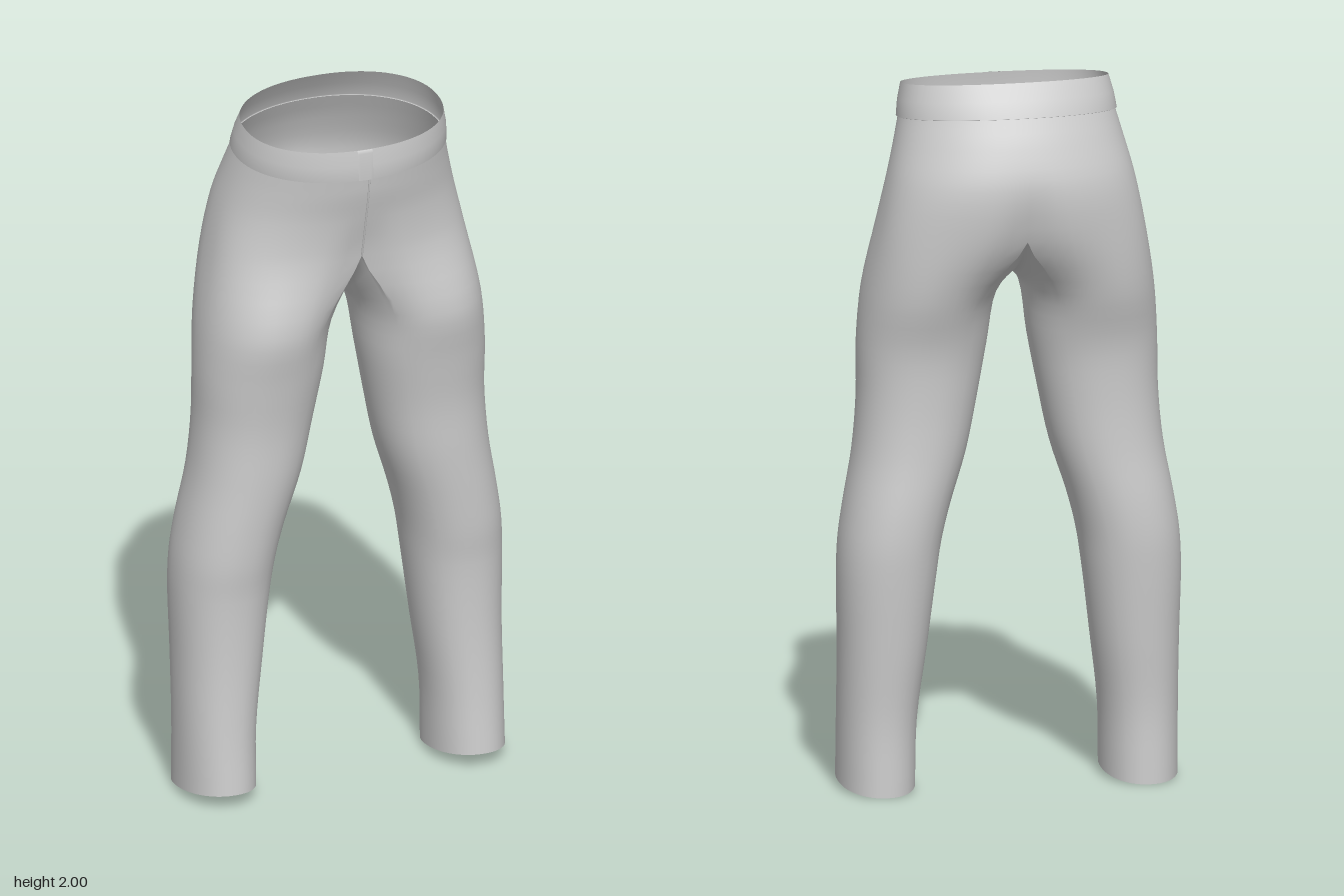
import * as THREE from 'three';
import { mergeVertices } from 'three/addons/utils/BufferGeometryUtils.js';

// Leg cross-sections from hem to thigh: [y, xInner, xOuter, zFront, zBack]
const LEG = [
  [0.02, 0.265, 0.475, 0.19, -0.125],
  [0.2, 0.26, 0.475, 0.175, -0.12],
  [0.4, 0.235, 0.476, 0.165, -0.135],
  [0.6, 0.21, 0.48, 0.167, -0.15],
  [0.7, 0.195, 0.475, 0.177, -0.155],
  [0.8, 0.17, 0.46, 0.183, -0.153],
  [0.95, 0.122, 0.433, 0.19, -0.142],
  [1.1, 0.09, 0.42, 0.195, -0.138],
  [1.25, 0.062, 0.418, 0.215, -0.148],
  [1.4, 0.038, 0.405, 0.237, -0.19],
];
// Hip cross-sections from crotch to waistband: [yFront, yBack, halfWidth, zFront, zBack, squareness, centre dip]
const HIP = [
  [1.6, 1.57, 0.37, 0.225, -0.247, 2.5, 0.022],
  [1.72, 1.72, 0.342, 0.235, -0.26, 2.2, 0.003],
  [1.8, 1.83, 0.318, 0.25, -0.228, 2.1, 0],
  [1.85, 1.91, 0.301, 0.257, -0.19, 2.1, 0],
];
const WAIST = [1.94, 2.0, 0.288, 0.256, -0.14, 2.2, 0];
const OUTER = 36, INNER = 24, COLS = OUTER + INNER, STEPS = 4, TWIST = 0.6;

const power = (v, n) => Math.sign(v) * Math.abs(v) ** (2 / n);
const mix = THREE.MathUtils.lerp;

// Angle 0 is the front, PI/2 the outer side, PI the back
function hipPoint([yf, yb, w, zf, zb, n, dip], a) {
  const s = power(Math.sin(a), n), c = power(Math.cos(a), n);
  const x = w * s;
  const hollow = dip * Math.exp(-((x / 0.07) ** 2)) * Math.sign(c);
  return new THREE.Vector3(x, mix(yb, yf, (c + 1) / 2), mix(zb, zf, (c + 1) / 2) - hollow);
}

function legPoint([y, xi, xo, zf, zb], a, hem) {
  const s = power(Math.sin(a), 2.15), c = power(Math.cos(a), 2.15);
  return new THREE.Vector3(mix(xi, xo, (s + 1) / 2), y + (hem ? 0.02 * c : 0), mix(zb, zf, (c + 1) / 2));
}

// U-shaped seam between the legs
function crotchPoint(a) {
  const c = Math.cos(a), end = hipPoint(HIP[0], c > 0 ? 0 : Math.PI);
  return new THREE.Vector3(0, mix(1.45, end.y, c * c), end.z * Math.abs(c));
}

// One curve up the cloth: inner columns stop at the crotch seam, outer ones reach the waistband
function columnCurve(j) {
  const outer = j <= OUTER;
  const a = outer ? (j / OUTER) * Math.PI : Math.PI + ((j - OUTER) / INNER) * Math.PI;
  const legAngle = outer
    ? -TWIST + (j / OUTER) * (Math.PI + 2 * TWIST)
    : Math.PI + TWIST + ((j - OUTER) / INNER) * (Math.PI - 2 * TWIST);
  const points = LEG.map((k, i) => legPoint(k, legAngle, i === 0));
  if (outer) HIP.forEach((k) => points.push(hipPoint(k, a)));
  else points.push(crotchPoint(a));
  return new THREE.CatmullRomCurve3(points);
}

// Both legs and the hips as one smooth, mirrored cloth
function trouserGeometry() {
  const legRows = LEG.length * STEPS;
  const allRows = legRows + (HIP.length - 1) * STEPS;
  const pos = [], index = [];
  for (const side of [1, -1]) {
    const start = [];
    for (let j = 0; j < COLS; j++) {
      const curve = columnCurve(j);
      const last = j <= OUTER ? allRows : legRows;
      start.push(pos.length / 3);
      for (let r = 0; r <= last; r++) {
        const p = curve.getPoint(r / last);
        pos.push(side * Math.max(0, p.x), p.y, p.z);
      }
    }
    for (let j = 0; j < COLS; j++) {
      const k = (j + 1) % COLS;
      const last = j < OUTER ? allRows : legRows;
      for (let r = 0; r < last; r++) {
        const a = start[j] + r, b = start[k] + r;
        if (side > 0) index.push(a, b, b + 1, a, b + 1, a + 1);
        else index.push(b, a, a + 1, b, a + 1, b + 1);
      }
    }
  }
  return finish(pos, index);
}

function finish(pos, index) {
  let g = new THREE.BufferGeometry();
  g.setAttribute('position', new THREE.Float32BufferAttribute(pos, 3));
  g.setIndex(index);
  g = mergeVertices(g, 1e-4);
  g.computeVertexNormals();
  return g;
}

// Strip around the waist between two angles, pushed out from the cloth by each [height, offset]
function waistStrip(a0, a1, segments, profile) {
  const pos = [], index = [], n = profile.length;
  for (let j = 0; j <= segments; j++) {
    const a = mix(a0, a1, j / segments);
    for (const [t, out] of profile) {
      const key = HIP[3].map((v, i) => mix(v, WAIST[i], t));
      key[2] += out;
      key[3] += out;
      key[4] -= out;
      const p = hipPoint(key, a);
      pos.push(p.x, p.y, p.z);
    }
  }
  for (let j = 0; j < segments; j++)
    for (let r = 0; r < n - 1; r++) {
      const a = j * n + r, b = a + n;
      index.push(a, b, b + 1, a, b + 1, a + 1);
    }
  return finish(pos, index);
}

export function createModel() {
  const group = new THREE.Group();
  group.name = 'trousers';
  const cloth = new THREE.MeshStandardMaterial({ color: 0xcccccc, side: THREE.DoubleSide, roughness: 0.9 });
  const add = (name, geometry) => {
    const mesh = new THREE.Mesh(geometry, cloth);
    mesh.name = name;
    group.add(mesh);
  };

  add('legsAndHips', trouserGeometry());

  // Waistband with a small step at its lower edge
  add('waistband', waistStrip(0, Math.PI * 2, 96, [[0, 0], [0.02, 0.005], [0.5, 0.005], [1, 0]]));

  // Overlapping closure tab at the front of the band
  add('waistTab', waistStrip(-0.1, 0.02, 6, [[0, 0.002], [0.03, 0.009], [0.9, 0.007], [1, 0.002]]));

  // Fly seam down the centre front
  const seam = new THREE.CatmullRomCurve3([...HIP].reverse().map((k) => hipPoint(k, 0)));
  add('flySeam', new THREE.TubeGeometry(seam, 24, 0.003, 6));

  return group;
}
